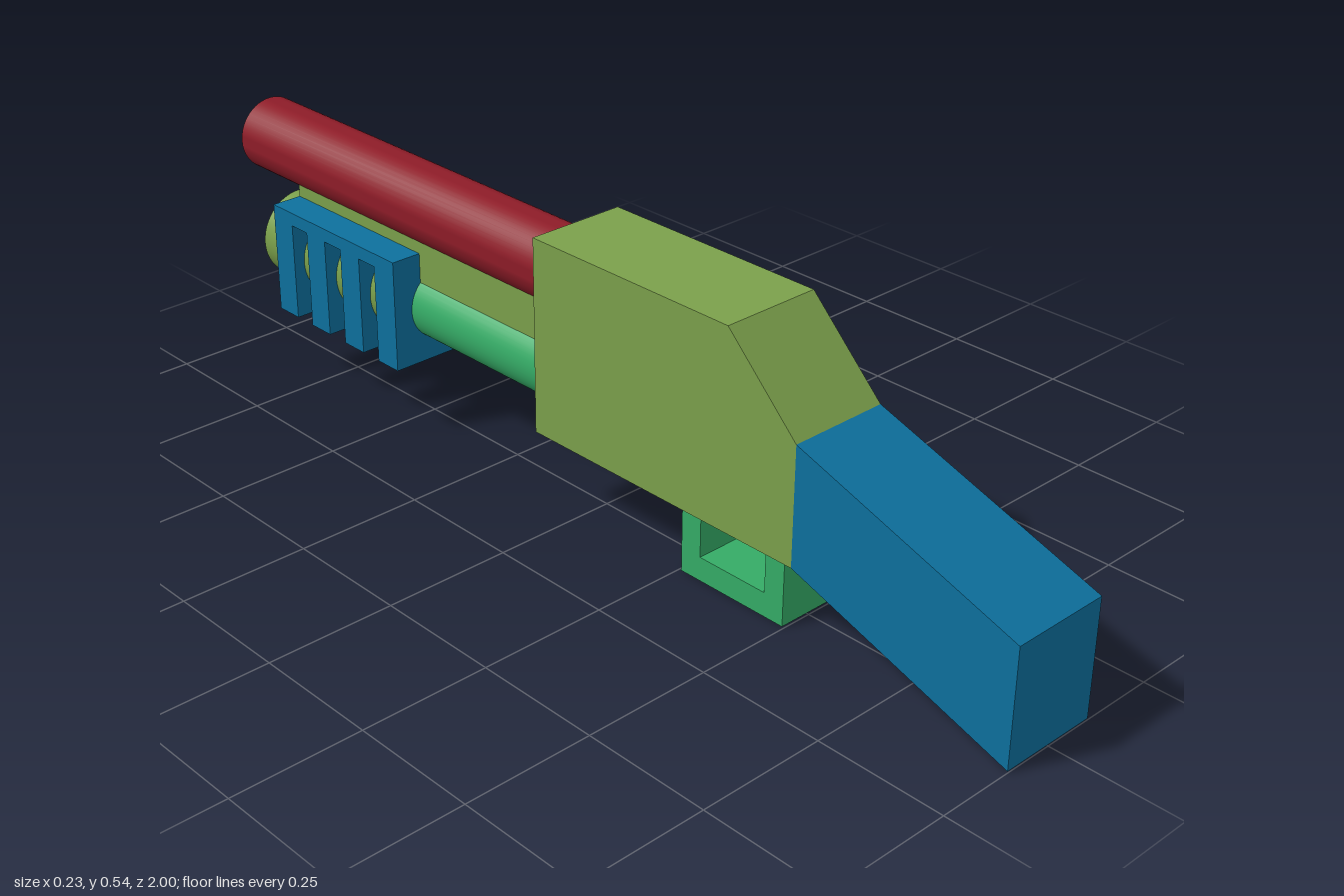
import * as THREE from 'three';
import { toCreasedNormals } from 'three/addons/utils/BufferGeometryUtils.js';

const material = (color) => new THREE.MeshStandardMaterial({ color });
const olive = material(0x7ba04b);
const blue = material(0x0d709d);
const red = material(0x8e1c28);
const green = material(0x35ab66);

// Closed path from [z, y] points; the extrusion later runs along x.
const trace = (path, points) => path.setFromPoints(points.map(([z, y]) => new THREE.Vector2(-z, y)));

export function createModel() {
  const model = new THREE.Group();
  model.name = 'pumpGun';

  const add = (parent, name, geometry, mat) => {
    const mesh = new THREE.Mesh(geometry, mat);
    mesh.name = name;
    parent.add(mesh);
    return mesh;
  };

  // Side outline in [z, y], spanning x0 to x1
  const slab = (parent, name, points, x0, x1, mat, hole) => {
    const shape = trace(new THREE.Shape(), points);
    if (hole) shape.holes.push(trace(new THREE.Path(), hole));
    const geometry = new THREE.ExtrudeGeometry(shape, { depth: x1 - x0, bevelEnabled: false });
    return add(parent, name, geometry.rotateY(Math.PI / 2).translate(x0, 0, 0), mat);
  };

  // Box given by half width and its y and z limits
  const block = (parent, name, halfWidth, y0, y1, z0, z1, mat) => {
    const mesh = add(parent, name, new THREE.BoxGeometry(halfWidth * 2, y1 - y0, Math.abs(z1 - z0)), mat);
    mesh.position.set(0, (y0 + y1) / 2, (z0 + z1) / 2);
    return mesh;
  };

  // Solid cylinder along z
  const rod = (name, radius, y, z0, z1, mat) => {
    const geometry = new THREE.CylinderGeometry(radius, radius, z0 - z1, 48).rotateX(-Math.PI / 2);
    add(model, name, geometry, mat).position.set(0, y, (z0 + z1) / 2);
  };

  // Receiver: solid core plus an outer plate with the port cut through it
  const receiver = new THREE.Group();
  receiver.name = 'receiver';
  model.add(receiver);
  const outline = [[0.545, 0.155], [0.545, 0.383], [0.39, 0.535], [-0.08, 0.535], [-0.08, 0.155]];
  const port = [[0.255, 0.378], [0.255, 0.503], [-0.05, 0.503], [-0.05, 0.378]];
  slab(receiver, 'receiverCore', outline, -0.1, 0.08, olive);
  slab(receiver, 'receiverPlate', outline, 0.08, 0.1, olive, port);
  slab(receiver, 'ejectionPort', port, 0.07, 0.083, red);

  // Stock sloping down to the butt
  slab(model, 'stock', [[1, 0.003], [1, 0.23], [0.545, 0.383], [0.545, 0.155]], -0.1, 0.1, blue);

  // Trigger guard, a squared U under the receiver
  slab(model, 'triggerGuard', [
    [0.495, 0.16], [0.495, 0], [0.255, 0], [0.255, 0.16],
    [0.3, 0.16], [0.3, 0.047], [0.452, 0.047], [0.452, 0.16],
  ], -0.06, 0.06, green);

  // Hollow barrel
  const barrelProfile = [[0.074, 0.07], [0.074, 1], [0.061, 1], [0.061, 0.085], [0, 0.085]]
    .map(([r, h]) => new THREE.Vector2(r, h));
  const barrelGeometry = toCreasedNormals(new THREE.LatheGeometry(barrelProfile, 48), 0.6);
  add(model, 'barrel', barrelGeometry.rotateX(-Math.PI / 2), red).position.y = 0.442;

  // Magazine tube, its wide front end, and the rib joining it to the barrel
  rod('magazineTube', 0.073, 0.25, -0.07, -0.55, green);
  rod('magazineCap', 0.09, 0.25, -0.48, -0.92, olive);
  block(model, 'barrelRib', 0.05, 0.25, 0.39, -0.07, -0.845, olive);

  // Pump grip: top plate with four blocks hanging from it
  const pump = new THREE.Group();
  pump.name = 'pumpGrip';
  model.add(pump);
  block(pump, 'pumpTop', 0.113, 0.336, 0.363, -0.465, -0.845, blue);
  const ridges = [[-0.465, -0.524], [-0.572, -0.63], [-0.68, -0.738], [-0.786, -0.845]];
  for (const [z0, z1] of ridges) block(pump, 'pumpRidge', 0.113, 0.137, 0.336, z0, z1, blue);

  return model;
}
